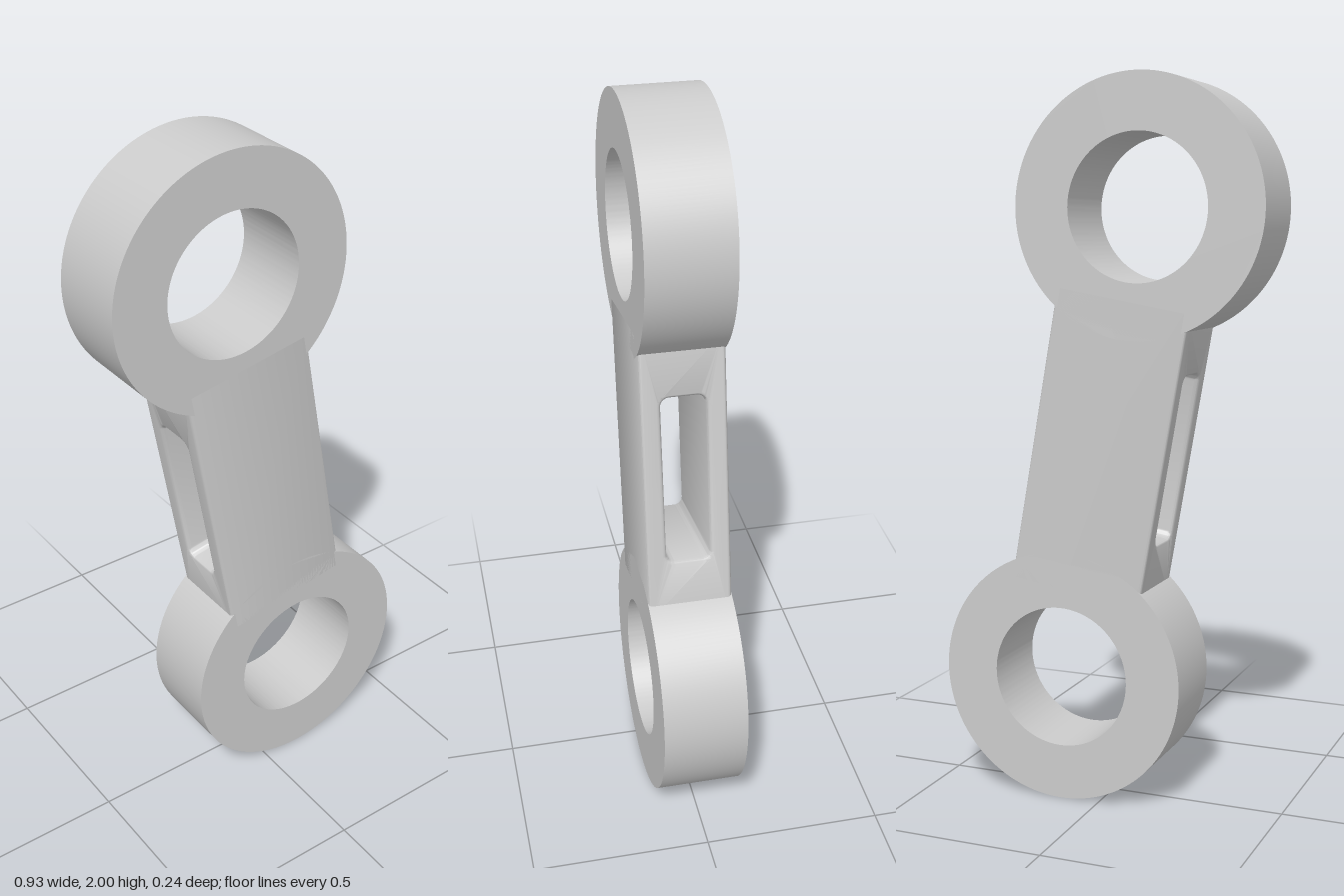
import * as THREE from 'three';
import { toCreasedNormals } from 'three/addons/utils/BufferGeometryUtils.js';

const material = new THREE.MeshStandardMaterial({ color: 0xcccccc });
const DEPTH = 0.236;      // thickness of the link, front to back
const OUTER = 0.352;      // eye outer radius
const BORE = 0.198;       // eye hole radius
const HALF_SPAN = 0.658;  // link centre to eye centre
const TILT = Math.atan2(0.113, 0.648);

function addMesh(parent, name, geometry) {
  const mesh = new THREE.Mesh(toCreasedNormals(geometry, 0.6), material);
  mesh.name = name;
  parent.add(mesh);
  return mesh;
}

// Rounded rectangle outline centred on the origin
function roundedRect(path, w, h, r) {
  const x = w / 2, y = h / 2;
  path.absarc(x - r, y - r, r, 0, Math.PI / 2);
  path.absarc(-x + r, y - r, r, Math.PI / 2, Math.PI);
  path.absarc(-x + r, -y + r, r, Math.PI, Math.PI * 1.5);
  path.absarc(x - r, -y + r, r, Math.PI * 1.5, Math.PI * 2);
  path.closePath();
  return path;
}

// Flat ring with a plain bore
function eyeGeometry() {
  const shape = new THREE.Shape().absarc(0, 0, OUTER, 0, Math.PI * 2);
  shape.holes.push(new THREE.Path().absarc(0, 0, BORE, 0, Math.PI * 2, true));
  return new THREE.ExtrudeGeometry(shape, { depth: DEPTH, bevelEnabled: false, curveSegments: 96 })
    .translate(0, 0, -DEPTH / 2);
}

// Bar extruded sideways, with a slot right through and softened side edges
function barGeometry() {
  const width = 0.385, length = 0.82, bevel = 0.012;
  const x = DEPTH / 2, y = length / 2;
  const shape = new THREE.Shape([[-x, -y], [x, -y], [x, y], [-x, y]].map(p => new THREE.Vector2(...p)));
  shape.holes.push(roundedRect(new THREE.Path(), 0.122, 0.472, 0.024));
  return new THREE.ExtrudeGeometry(shape, {
    depth: width - 2 * bevel, curveSegments: 8,
    bevelThickness: bevel, bevelSize: bevel, bevelOffset: -bevel, bevelSegments: 4,
  }).translate(0, 0, bevel - width / 2).rotateY(Math.PI / 2);
}

export function createModel() {
  const model = new THREE.Group();
  model.name = 'linkArm';

  // Whole link leans over to the side
  const link = new THREE.Group();
  link.name = 'link';
  link.position.y = 1;
  link.rotation.z = TILT;
  model.add(link);

  addMesh(link, 'slottedBar', barGeometry());
  addMesh(link, 'upperEye', eyeGeometry()).position.y = HALF_SPAN;
  addMesh(link, 'lowerEye', eyeGeometry()).position.y = -HALF_SPAN;
  return model;
}
